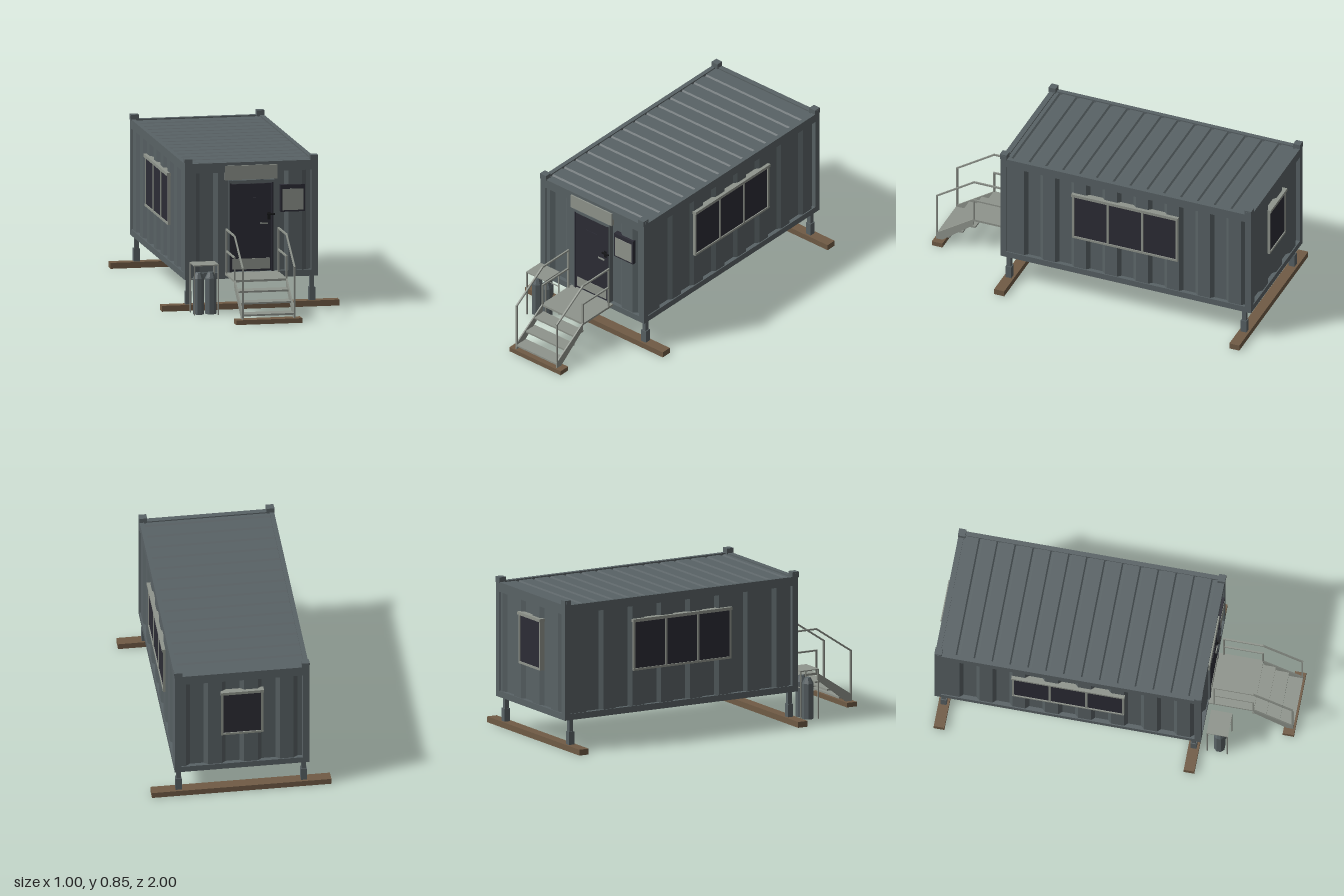
import * as THREE from 'three';

const mat = (name, color, side = THREE.FrontSide) => {
  const m = new THREE.MeshStandardMaterial({ color, side });
  m.name = name;
  return m;
};

export function createModel() {
  const root = new THREE.Group();
  root.name = 'siteCabin';
  const steel = mat('slate steel', 0x596265);
  const light = mat('pale grey', 0x8f948c);
  const dark = mat('dark panel', 0x2c2c35);
  const wood = mat('timber', 0x705b45);
  const black = mat('black', 0x161719);

  const group = (name, parent = root) => {
    const g = new THREE.Group();
    g.name = name;
    parent.add(g);
    return g;
  };
  const add = (parent, name, geo, m) => {
    const mesh = new THREE.Mesh(geo, m);
    mesh.name = name;
    parent.add(mesh);
    return mesh;
  };
  // box from minimum and maximum along each axis
  const box = (parent, name, m, x0, x1, y0, y1, z0, z1) => {
    const b = add(parent, name, new THREE.BoxGeometry(x1 - x0, y1 - y0, z1 - z0), m);
    b.position.set((x0 + x1) / 2, (y0 + y1) / 2, (z0 + z1) / 2);
    return b;
  };
  const rod = (parent, name, m, a, b, t = 0.009) => {
    const p = new THREE.Vector3(...a), q = new THREE.Vector3(...b);
    const r = add(parent, name, new THREE.BoxGeometry(t, t, p.distanceTo(q) + t * 0.8), m);
    r.position.copy(p).lerp(q, 0.5);
    r.lookAt(q);
    return r;
  };
  // corrugated sheet: slopes centred at first + k * step, alternating with the given widths
  const sheet = (length, run, steps, first, slope, depth) => {
    const h = length / 2, s = new THREE.Shape();
    s.moveTo(-h, -depth - 0.012);
    s.lineTo(h, -depth - 0.012);
    const pts = [];
    let level = 0, c = first;
    for (let k = 0; c < h - slope; k++) {
      if (c > -h + slope) {
        if (!pts.length) pts.push([-h, level]);
        pts.push([c - slope / 2, level], [c + slope / 2, -depth - level]);
      }
      level = -depth - level;
      c += steps[k % 2];
    }
    pts.push([h, level]);
    pts.reverse().forEach(p => s.lineTo(...p));
    s.closePath();
    return new THREE.ExtrudeGeometry(s, { depth: run, bevelEnabled: false });
  };

  const X = 0.375, ZF = 0.51, ZB = -0.985, ZC = (ZF + ZB) / 2, Y0 = 0.175, Y1 = 0.825;

  // frame: floor, posts, rails and corner castings
  const frame = group('frame');
  box(frame, 'floor', steel, -0.36, 0.36, Y0, 0.2, ZB + 0.01, ZF - 0.01);
  for (const s of [-1, 1]) {
    const side = (name, a, b, ...r) => box(frame, name, steel, Math.min(s * a, s * b), Math.max(s * a, s * b), ...r);
    side('sideTopRail', 0.35, X, 0.775, Y1, ZB, ZF);
    side('sideBottomRail', 0.335, X, Y0, 0.21, ZB, ZF);
    for (const [z0, z1, zo] of [[ZF - 0.035, ZF, ZF], [ZB, ZB + 0.035, ZB]]) {
      side('cornerPost', 0.338, X, Y0, Y1, z0, z1);
      const zi = zo === ZF ? ZF - 0.035 : ZB;
      side('cornerCasting', 0.333, X + 0.001, Y1 - 0.005, 0.852, zi - 0.002, zi + 0.039);
      side('castingSlot', X, X + 0.003, 0.831, 0.845, zi + 0.007, zi + 0.028);
    }
  }
  for (const [z0, z1] of [[ZF - 0.03, ZF], [ZB, ZB + 0.03]]) {
    box(frame, 'endTopRail', steel, -X, X, 0.77, Y1, z0, z1);
    box(frame, 'endBottomRail', steel, -X, X, Y0, 0.21, z0, z1);
  }

  // corrugated walls
  const walls = group('walls');
  const wall = (name, geo, turn, x, z) => {
    geo.rotateX(Math.PI / 2).rotateY(turn);
    add(walls, name, geo, steel).position.set(x, 0.78, z);
  };
  const sideSheet = () => sheet(1.44, 0.58, [0.0925, 0.0925], -0.6, 0.02, 0.018);
  const endSheet = () => sheet(0.69, 0.58, [0.1, 0.1], -0.3, 0.024, 0.018);
  wall('frontWall', endSheet(), 0, 0, ZF - 0.006);
  wall('backWall', endSheet(), Math.PI, 0, ZB + 0.006);
  wall('leftWall', sideSheet(), Math.PI / 2, X - 0.006, ZC);
  wall('rightWall', sideSheet(), -Math.PI / 2, -X + 0.006, ZC);

  // roof with cross grooves
  const roof = sheet(1.44, 0.71, [0.016, 0.0845], -0.692, 0.008, 0.008);
  roof.translate(0, 0, -0.355).rotateY(Math.PI / 2);
  add(root, 'roof', roof, steel).position.set(0, 0.818, ZC);

  // windows, built facing +z and then turned onto the walls
  const makeWindow = (name, width, panes) => {
    const g = group(name), h = width / 2, f = 0.012;
    box(g, 'glass', dark, -h + 0.004, h - 0.004, 0.415, 0.695, -0.02, 0.003);
    for (const y of [0.41, 0.685]) box(g, 'frameBar', light, -h, h, y, y + f, -0.02, 0.009);
    for (let i = 0; i <= panes; i++) {
      const x = -h + f / 2 + (i * (width - f)) / panes;
      box(g, 'frameUpright', light, x - f / 2, x + f / 2, 0.41, 0.697, -0.02, 0.008);
    }
    box(g, 'windowHood', light, -h - 0.003, h + 0.003, 0.685, 0.702, -0.02, 0.015);
    return g;
  };
  for (const s of [-1, 1]) {
    const w = makeWindow(s > 0 ? 'leftWindow' : 'rightWindow', 0.63, 3);
    w.rotation.y = (s * Math.PI) / 2;
    w.position.set(s * (X - 0.002), 0, -0.235);
  }
  const back = makeWindow('backWindow', 0.235, 1);
  back.rotation.y = Math.PI;
  back.position.z = ZB + 0.001;

  // door
  const door = group('door');
  box(door, 'doorLeaf', dark, -0.115, 0.113, 0.215, 0.703, 0.47, 0.513);
  for (const s of [-1, 1]) {
    box(door, 'doorJamb', steel, s * 0.122 - 0.008, s * 0.122 + 0.008, 0.21, 0.722, 0.47, 0.516);
    box(door, 'doorSeal', dark, s * 0.118 - 0.004, s * 0.118 + 0.004, 0.21, 0.71, 0.47, 0.518);
  }
  box(door, 'doorHead', steel, -0.13, 0.13, 0.706, 0.724, 0.47, 0.516);
  box(door, 'peepPanel', dark, -0.04, 0.038, 0.55, 0.624, 0.51, 0.516);
  box(door, 'kickPlate', light, -0.106, 0.104, 0.225, 0.285, 0.51, 0.516);
  box(door, 'letterSlot', light, 0.048, 0.092, 0.475, 0.483, 0.51, 0.518);
  box(door, 'lockPlate', black, 0.09, 0.106, 0.5, 0.54, 0.51, 0.518);
  box(door, 'handle', black, 0.085, 0.13, 0.527, 0.536, 0.522, 0.53);
  box(door, 'handleStem', black, 0.094, 0.102, 0.527, 0.536, 0.51, 0.526);

  // panel over the door and notice case
  box(root, 'doorSign', light, -0.15, 0.147, 0.728, 0.808, 0.5, 0.518);
  const notice = group('noticeCase');
  box(notice, 'caseBody', dark, 0.164, 0.301, 0.54, 0.691, 0.485, 0.518);
  box(notice, 'noticeSheet', light, 0.173, 0.292, 0.549, 0.668, 0.517, 0.52);

  // bearers and jacks
  for (const z of [0.467, -0.937]) {
    box(root, 'bearer', wood, -0.5, 0.5, 0, 0.033, z - 0.03, z + 0.03);
    for (const x of [-0.349, 0.349]) {
      box(root, 'jackBase', steel, x - 0.017, x + 0.017, 0.033, 0.106, z - 0.017, z + 0.017);
      box(root, 'jackStem', steel, x - 0.012, x + 0.012, 0.1, Y0, z - 0.012, z + 0.012);
    }
  }

  // steps with landing and handrails
  const steps = group('steps');
  box(steps, 'stepBearer', wood, -0.186, 0.186, 0, 0.026, 0.935, 0.998);
  box(steps, 'landing', light, -0.15, 0.15, 0.198, 0.21, 0.51, 0.765);
  [[0.155, 0.755], [0.103, 0.83], [0.05, 0.908]].forEach(([y, z]) =>
    box(steps, 'tread', light, -0.145, 0.145, y - 0.005, y + 0.005, z, z + 0.08));
  const profile = new THREE.Shape([[0.765, 0.21], [0.765, 0.17], [0.95, 0.026], [0.988, 0.026], [0.988, 0.062]]
    .map(p => new THREE.Vector2(...p)));
  for (const s of [-1, 1]) {
    const geo = new THREE.ExtrudeGeometry(profile, { depth: 0.008, bevelEnabled: false });
    geo.translate(0, 0, -0.004).rotateY(-Math.PI / 2);
    add(steps, 'stringer', geo, light).position.x = s * 0.146;
    const x = s * 0.146;
    const path = [[x, 0.04, 0.983], [x, 0.31, 0.983], [x, 0.456, 0.762], [x, 0.456, 0.543], [x, 0.2, 0.543]];
    path.slice(1).forEach((p, i) => rod(steps, 'handrail', light, path[i], p));
    rod(steps, 'midPost', light, [x, 0.2, 0.762], [x, 0.335, 0.762]);
    rod(steps, 'midRail', light, [x, 0.335, 0.762], [x, 0.335, 0.543]);
  }

  // gas bottle stand
  const stand = group('gasStand');
  box(stand, 'standTop', light, -0.354, -0.213, 0.276, 0.282, 0.538, 0.658);
  for (const x of [-0.351, -0.216]) {
    for (const z of [0.542, 0.654]) box(stand, 'standLeg', light, x - 0.003, x + 0.003, 0, 0.278, z - 0.003, z + 0.003);
  }
  box(stand, 'standBar', light, -0.351, -0.216, 0.183, 0.187, 0.54, 0.544);
  const outline = [[0, 0], [0.032, 0], [0.032, 0.2], [0.016, 0.233], [0, 0.233]].map(p => new THREE.Vector2(...p));
  for (const x of [-0.318, -0.249]) {
    const geo = new THREE.LatheGeometry(outline, 8, Math.PI / 8).toNonIndexed();
    geo.computeVertexNormals();
    add(stand, 'gasBottle', geo, steel).position.set(x, 0, 0.605);
  }
  return root;
}
